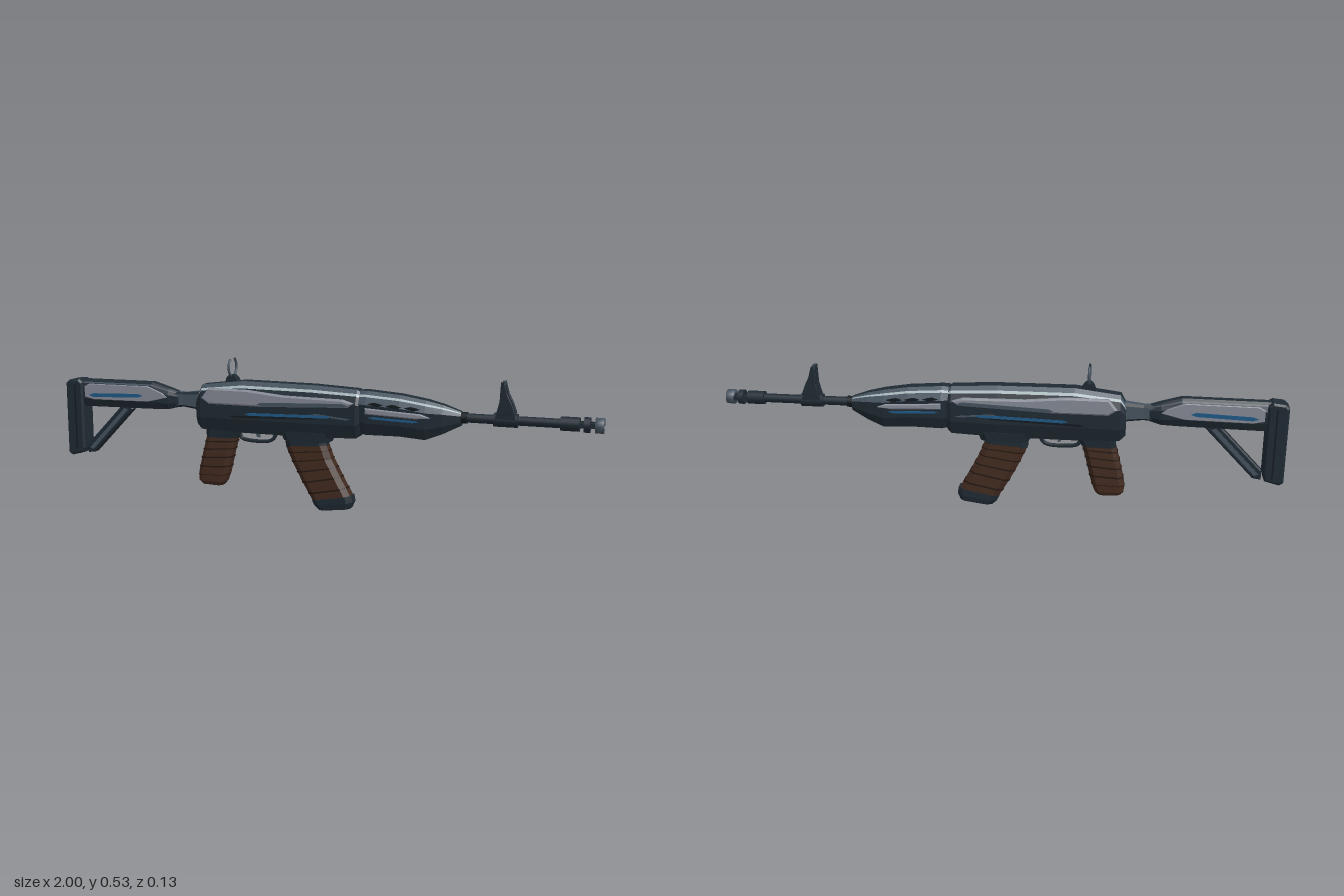
import * as THREE from 'three';

const mat = (name, color) => new THREE.MeshStandardMaterial({ name, color });
const M = {
  dark: mat('dark slate', 0x202b34), black: mat('near black', 0x141a1f),
  steel: mat('steel', 0x46535f), silver: mat('silver', 0x878b96),
  pale: mat('pale edge', 0xa9b9be), blue: mat('blue', 0x1f5a88),
  brown: mat('brown', 0x432b20), deep: mat('dark brown', 0x251812),
};

export function createModel() {
  const root = new THREE.Group();
  const add = (name, geo, m) => {
    const mesh = new THREE.Mesh(geo, m);
    mesh.name = name;
    root.add(mesh);
    return mesh;
  };

  // Half profiles as [along section, sideways]; mirrored across z = 0
  const BODY = [[1, 0.42], [0.84, 0.62], [0.74, 0.74], [0.4, 1], [-0.45, 1], [-1, 0.7]];
  const SOFT = [[1, 0.55], [0.72, 1], [-0.72, 1], [-1, 0.55]];

  // Loft through sections [ax, ay, bx, by, halfWidth]; bands colours the faces from the top down
  function loft(name, sections, half, bands) {
    const ring = [...half, ...half.slice().reverse().map(([u, z]) => [u, -z])];
    const n = ring.length, h = half.length;
    const rings = sections.map(([ax, ay, bx, by, w]) => ring.map(([u, z]) => {
      const t = (u + 1) / 2;
      return [ax + (bx - ax) * t, ay + (by - ay) * t, z * w];
    }));
    const pos = [], mats = [], geo = new THREE.BufferGeometry();
    const tri = (...p) => p.forEach(v => pos.push(...v));
    const group = (m, build) => {
      const start = pos.length / 3;
      build();
      if (!mats.includes(m)) mats.push(m);
      geo.addGroup(start, pos.length / 3 - start, mats.indexOf(m));
    };
    for (let j = 0; j < n; j++) {
      const k = (j + 1) % n;
      const band = j < h ? j + 1 : (j === n - 1 ? 0 : n - 1 - j);
      group(bands[Math.min(band, bands.length - 1)], () => {
        for (let i = 0; i + 1 < rings.length; i++) {
          const p = rings[i], q = rings[i + 1];
          tri(p[j], p[k], q[k]);
          tri(p[j], q[k], q[j]);
        }
      });
    }
    group(bands[0], () => {
      const a = rings[0], b = rings[rings.length - 1];
      for (let j = 1; j + 1 < n; j++) {
        tri(a[0], a[j + 1], a[j]);
        tri(b[0], b[j], b[j + 1]);
      }
    });
    geo.setAttribute('position', new THREE.Float32BufferAttribute(pos, 3));
    geo.computeVertexNormals();
    return add(name, geo, mats);
  }
  const upright = rows => rows.map(([x, lo, hi, w]) => [x, lo, x, hi, w]);

  // Extruded side outline, centred on z
  function slab(name, pts, z, depth, m, bevel = 0) {
    const geo = new THREE.ExtrudeGeometry(new THREE.Shape(pts.map(p => new THREE.Vector2(...p))), {
      depth: depth - 2 * bevel, bevelEnabled: bevel > 0, bevelSize: bevel, bevelOffset: -bevel,
      bevelThickness: bevel, bevelSegments: 1 });
    geo.translate(0, 0, z - depth / 2 + bevel);
    return add(name, geo, m);
  }
  const bothSides = (name, pts, z, depth, m, bevel) =>
    [1, -1].forEach(s => slab(name, pts, s * z, depth, m, bevel));
  const streak = (x0, x1, y0, y1, t) =>
    [[x0, y0], [x0 + 0.02, y0 - t / 2], [x1 - 0.02, y1 - t / 2], [x1, y1], [x1 - 0.02, y1 + t / 2], [x0 + 0.02, y0 + t / 2]];
  function tubeX(name, x0, x1, r, m, sides = 16) {
    const geo = new THREE.CylinderGeometry(r, r, x1 - x0, sides);
    geo.rotateZ(Math.PI / 2);
    geo.translate((x0 + x1) / 2, 0.365, 0);
    return add(name, geo, m);
  }

  // Receiver
  loft('receiver', upright([[-0.45, 0.29, 0.40, 0.036], [-0.43, 0.272, 0.435, 0.046], [-0.27, 0.268, 0.455, 0.052],
    [0, 0.268, 0.453, 0.052], [0.165, 0.275, 0.445, 0.052], [0.18, 0.29, 0.435, 0.046]]), BODY,
  [M.dark, M.steel, M.pale, M.dark]);
  bothSides('receiverSidePanel', [[-0.42, 0.39], [-0.39, 0.37], [-0.2, 0.37], [0.0, 0.378], [0.14, 0.385],
    [0.16, 0.4], [0.12, 0.412], [-0.1, 0.415], [-0.24, 0.428], [-0.39, 0.428]], 0.051, 0.02, M.silver, 0.006);
  bothSides('receiverPanelShade', streak(-0.2, 0.14, 0.38, 0.392, 0.013), 0.06, 0.006, M.steel);
  bothSides('receiverBlueStripe', streak(-0.25, 0.08, 0.34, 0.347, 0.01), 0.052, 0.005, M.blue);
  bothSides('receiverLowerLine', streak(-0.31, 0.04, 0.328, 0.34, 0.008), 0.052, 0.004, M.black);
  bothSides('receiverLowerHighlight', streak(0.0, 0.15, 0.353, 0.343, 0.006), 0.052, 0.004, M.steel);

  // Handguard
  loft('handguard', upright([[0.175, 0.295, 0.442, 0.046], [0.2, 0.29, 0.443, 0.05], [0.32, 0.292, 0.434, 0.05],
    [0.41, 0.285, 0.42, 0.046], [0.47, 0.308, 0.406, 0.036], [0.53, 0.338, 0.386, 0.02]]), BODY,
  [M.dark, M.steel, M.pale, M.steel, M.dark]);
  bothSides('handguardPanel', [[0.2, 0.365], [0.38, 0.358], [0.43, 0.364], [0.4, 0.376], [0.2, 0.387]],
    0.047, 0.014, M.silver, 0.004);
  bothSides('handguardBlueStripe', streak(0.21, 0.39, 0.353, 0.348, 0.008), 0.049, 0.005, M.blue);
  for (let i = 0; i < 3; i++) {
    const x = 0.21 + i * 0.065;
    bothSides('handguardSlot', streak(x, x + 0.055, 0.401 - i * 0.004, 0.399 - i * 0.004, 0.011), 0.048, 0.008, M.black);
  }

  // Barrel and muzzle
  tubeX('barrel', 0.5, 0.88, 0.016, M.dark);
  tubeX('barrelCollar', 0.52, 0.55, 0.02, M.black);
  tubeX('muzzleCollar', 0.86, 0.922, 0.024, M.dark);
  tubeX('muzzleCore', 0.92, 0.99, 0.011, M.black);
  tubeX('muzzleRing', 0.936, 0.956, 0.026, M.dark);
  const bore = new THREE.LatheGeometry([[0.012, 0], [0.026, 0], [0.026, 0.028], [0.015, 0.028], [0.012, 0.008], [0.012, 0]]
    .map(p => new THREE.Vector2(...p)), 20);
  bore.rotateZ(-Math.PI / 2);
  bore.translate(0.972, 0.365, 0);
  const tip = add('muzzleTip', bore, M.steel);
  tip.material.side = THREE.DoubleSide;
  [1, -1].forEach(s => slab('muzzleBridge', [[0.92, 0.357], [0.975, 0.357], [0.975, 0.373], [0.92, 0.373]], s * 0.018, 0.01, M.dark));

  // Front sight
  tubeX('frontSightBand', 0.64, 0.72, 0.024, M.dark);
  slab('frontSightBase', [[0.645, 0.37], [0.715, 0.37], [0.705, 0.405], [0.695, 0.42], [0.658, 0.42]], 0, 0.046, M.dark);
  bothSides('frontSightProng', [[0.648, 0.38], [0.713, 0.39], [0.7, 0.425], [0.685, 0.455], [0.674, 0.495],
    [0.663, 0.495], [0.66, 0.43]], 0.018, 0.013, M.dark, 0.002);
  slab('frontSightPin', [[0.666, 0.4], [0.678, 0.4], [0.674, 0.498], [0.667, 0.498]], 0, 0.006, M.steel);

  // Rear sight: open ring facing along the barrel
  const ring = new THREE.TorusGeometry(0.034, 0.0045, 8, 32, THREE.MathUtils.degToRad(290));
  const ringMesh = add('rearSightRing', ring, M.steel);
  ringMesh.rotation.set(0, Math.PI / 2, THREE.MathUtils.degToRad(125));
  ringMesh.position.set(-0.318, 0.502, 0);
  slab('rearSightBase', [[-0.345, 0.44], [-0.285, 0.44], [-0.3, 0.465], [-0.31, 0.474], [-0.326, 0.474], [-0.335, 0.465]], 0, 0.03, M.dark);

  // Stock
  loft('stockNeck', upright([[-0.56, 0.342, 0.402, 0.022], [-0.51, 0.346, 0.4, 0.02], [-0.44, 0.338, 0.408, 0.026]]), SOFT, [M.steel, M.dark, M.steel, M.dark]);
  loft('stockBody', upright([[-0.94, 0.328, 0.43, 0.032], [-0.64, 0.333, 0.432, 0.034], [-0.57, 0.335, 0.412, 0.032],
    [-0.53, 0.345, 0.4, 0.022]]), BODY, [M.dark, M.dark, M.steel, M.dark]);
  bothSides('stockPanel', [[-0.92, 0.365], [-0.88, 0.357], [-0.65, 0.36], [-0.57, 0.38], [-0.59, 0.395],
    [-0.65, 0.418], [-0.9, 0.416], [-0.92, 0.405]], 0.031, 0.009, M.silver, 0.002);
  bothSides('stockBlueStripe', streak(-0.9, -0.67, 0.374, 0.381, 0.014), 0.0355, 0.004, M.blue);
  slab('stockStrut', [[-0.925, 0.145], [-0.895, 0.15], [-0.725, 0.325], [-0.735, 0.345], [-0.77, 0.34], [-0.925, 0.18]], 0, 0.032, M.dark, 0.005);
  bothSides('strutFace', [[-0.915, 0.166], [-0.9, 0.161], [-0.745, 0.322], [-0.76, 0.328]], 0.0165, 0.004, M.steel);
  slab('buttPad', [[-1, 0.145], [-0.985, 0.135], [-0.935, 0.148], [-0.928, 0.165], [-0.928, 0.42], [-0.945, 0.432],
    [-0.985, 0.428], [-1, 0.415]], 0, 0.076, M.dark, 0.007);
  bothSides('buttPadSeam', [[-0.962, 0.16], [-0.957, 0.16], [-0.957, 0.41], [-0.962, 0.41]], 0.038, 0.003, M.black);

  // Dark ribs wrapped around a loft at the given fractions of each span
  function ribs(name, sections, cuts) {
    const at = s => {
      const i = Math.min(Math.floor(s), sections.length - 2), f = s - i;
      return sections[i].map((v, k) => v + (sections[i + 1][k] - v) * f + [-0.002, 0, 0.002, 0, 0.0015][k]);
    };
    cuts.forEach(c => loft(name, [at(c), at(c + 0.07)], SOFT, [M.deep]));
  }

  // Pistol grip
  loft('gripCollar', [[-0.42, 0.285, -0.275, 0.285, 0.034], [-0.418, 0.24, -0.298, 0.243, 0.03]], SOFT, [M.dark]);
  const grip = [[-0.418, 0.245, -0.298, 0.25, 0.026], [-0.435, 0.18, -0.315, 0.19, 0.029],
    [-0.452, 0.105, -0.335, 0.11, 0.031], [-0.452, 0.075, -0.348, 0.075, 0.03], [-0.44, 0.062, -0.36, 0.06, 0.024]];
  loft('grip', grip, SOFT, [M.brown]);
  ribs('gripRib', grip, [0.3, 0.75, 1.2, 1.65, 2.2]);

  // Trigger and guard
  const guard = new THREE.CatmullRomCurve3([[-0.295, 0.275], [-0.285, 0.243], [-0.265, 0.236], [-0.18, 0.236], [-0.16, 0.246], [-0.145, 0.275]]
    .map(([x, y]) => new THREE.Vector3(x, y, 0)));
  add('triggerGuard', new THREE.TubeGeometry(guard, 24, 0.007, 6), M.dark);
  slab('trigger', [[-0.235, 0.275], [-0.215, 0.275], [-0.212, 0.248], [-0.222, 0.25]], 0, 0.012, M.steel);

  // Magazine
  loft('magazineWell', [[-0.125, 0.285, 0.075, 0.285, 0.044], [-0.11, 0.25, 0.06, 0.25, 0.042]], SOFT, [M.dark]);
  loft('magazineNeck', [[-0.107, 0.26, 0.045, 0.26, 0.03], [-0.105, 0.224, 0.05, 0.234, 0.03]], SOFT, [M.dark]);
  const mag = [[-0.105, 0.228, 0.05, 0.238, 0.03], [-0.078, 0.168, 0.068, 0.19, 0.031],
    [-0.042, 0.1, 0.1, 0.13, 0.032], [0.0, 0.03, 0.14, 0.058, 0.032]];
  loft('magazine', mag, SOFT, [M.brown]);
  ribs('magazineRib', mag, [0.35, 0.9, 1.45, 2, 2.55]);
  loft('magazineCap', [[-0.005, 0.035, 0.144, 0.062, 0.033], [0.004, 0.016, 0.148, 0.038, 0.033],
    [0.022, 0, 0.138, 0.014, 0.029]], SOFT, [M.dark]);

  return root;
}
